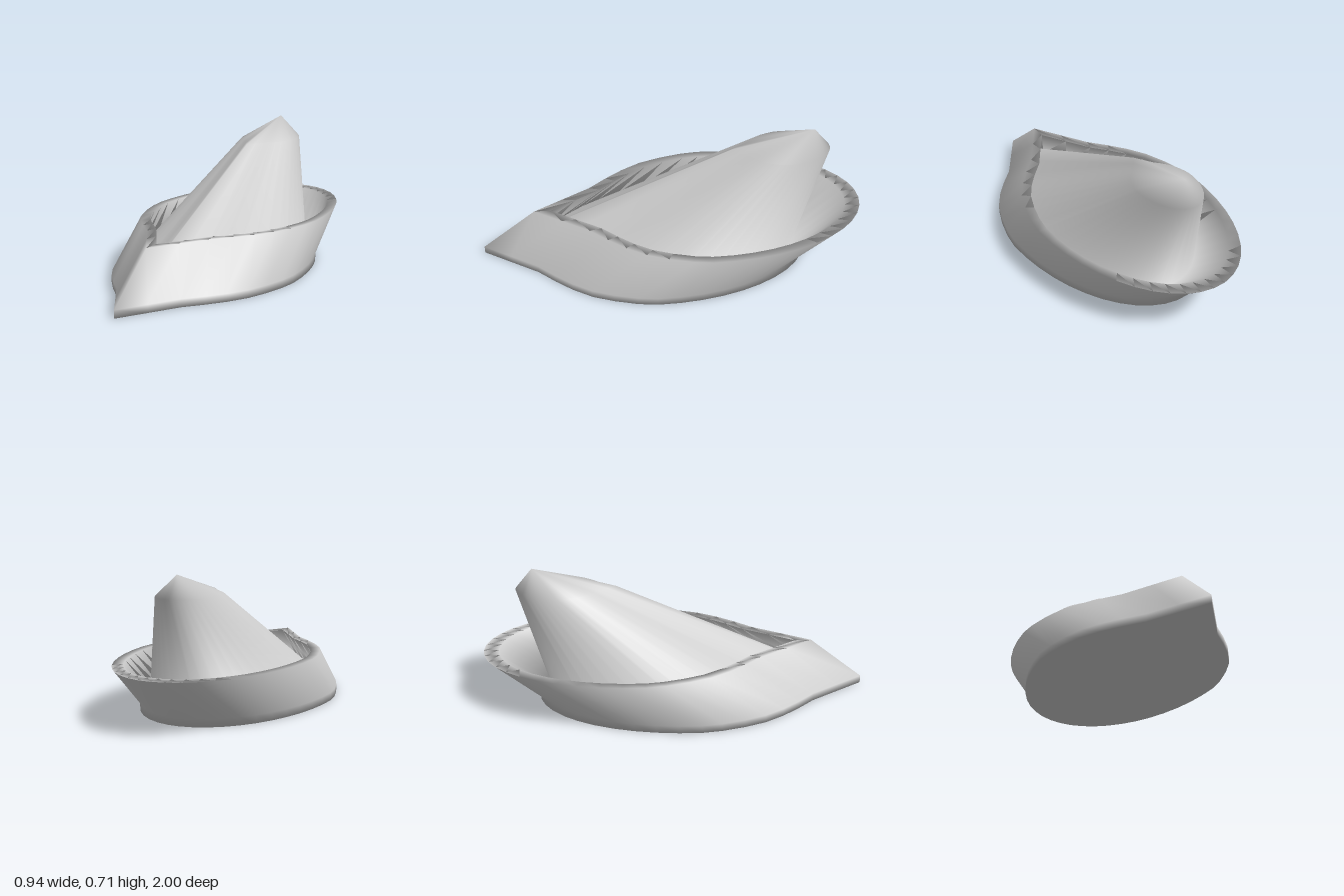
import * as THREE from 'three';
import { mergeVertices } from 'three/addons/utils/BufferGeometryUtils.js';

// Teardrop outline [x, z]: pointed front, elliptical back, centred near z = 0.1
const MID = 0.1;
function teardrop() {
  const half = [
    [0, 1], [0.09, 0.855], [0.18, 0.71], [0.26, 0.62], [0.33, 0.53],
    [0.39, 0.43], [0.43, 0.32], [0.46, 0.2],
  ];
  const backSteps = 11;
  for (let i = 0; i <= backSteps; i++) {
    const a = (i / backSteps) * Math.PI / 2;
    half.push([0.472 * Math.cos(a), MID - 0.82 * Math.sin(a)]);
  }
  half[half.length - 1][0] = 0;
  const mirrored = half.slice(1, -1).reverse().map(([x, z]) => [-x, z]);
  return [...half, ...mirrored];
}

// Skin through scaled copies of the outline; rings run bottom to top, outside to inside
function loft(outline, rings) {
  const n = outline.length;
  const positions = [];
  const index = [];
  for (const { y, z, sx, sz } of rings) {
    for (const [ox, oz] of outline) positions.push(ox * sx, y, z + (oz - MID) * sz);
  }
  for (let r = 0; r < rings.length - 1; r++) {
    for (let j = 0; j < n; j++) {
      const k = (j + 1) % n;
      const a = r * n + j, b = r * n + k, c = a + n, d = b + n;
      if (rings[r].sx > 0) index.push(a, b, c);
      if (rings[r + 1].sx > 0) index.push(b, d, c);
      else if (rings[r].sx === 0) continue;
    }
  }
  let geometry = new THREE.BufferGeometry();
  geometry.setAttribute('position', new THREE.Float32BufferAttribute(positions, 3));
  geometry.setIndex(index);
  geometry = mergeVertices(geometry, 1e-5);
  geometry.computeVertexNormals();
  return geometry;
}

export function createModel() {
  const group = new THREE.Group();
  group.name = 'teardropDish';

  const ring = (y, z, sx, sz = sx) => ({ y, z, sx, sz });
  const inner = 0.903;
  const rings = [
    ring(0, MID, 0),                       // base centre
    ring(0, MID, 1),                       // base edge
    ring(0.04, MID, 1),                    // top of the upright foot
    ring(0.265, MID - 0.28, 1),            // outer rim, leaning back
    ring(0.265, MID - 0.28, inner),        // inner rim
    ring(0.05, MID - 0.012, inner),        // foot of the inner wall and cone
    ring(0.608, -0.572, 0.319, 0.297),     // cone shoulder
    ring(0.715, -0.73, 0),                 // cone tip
  ];

  const material = new THREE.MeshStandardMaterial({ color: 0xcccccc });
  const body = new THREE.Mesh(loft(teardrop(), rings), material);
  body.name = 'dishWithLeaningCone';
  group.add(body);
  return group;
}
